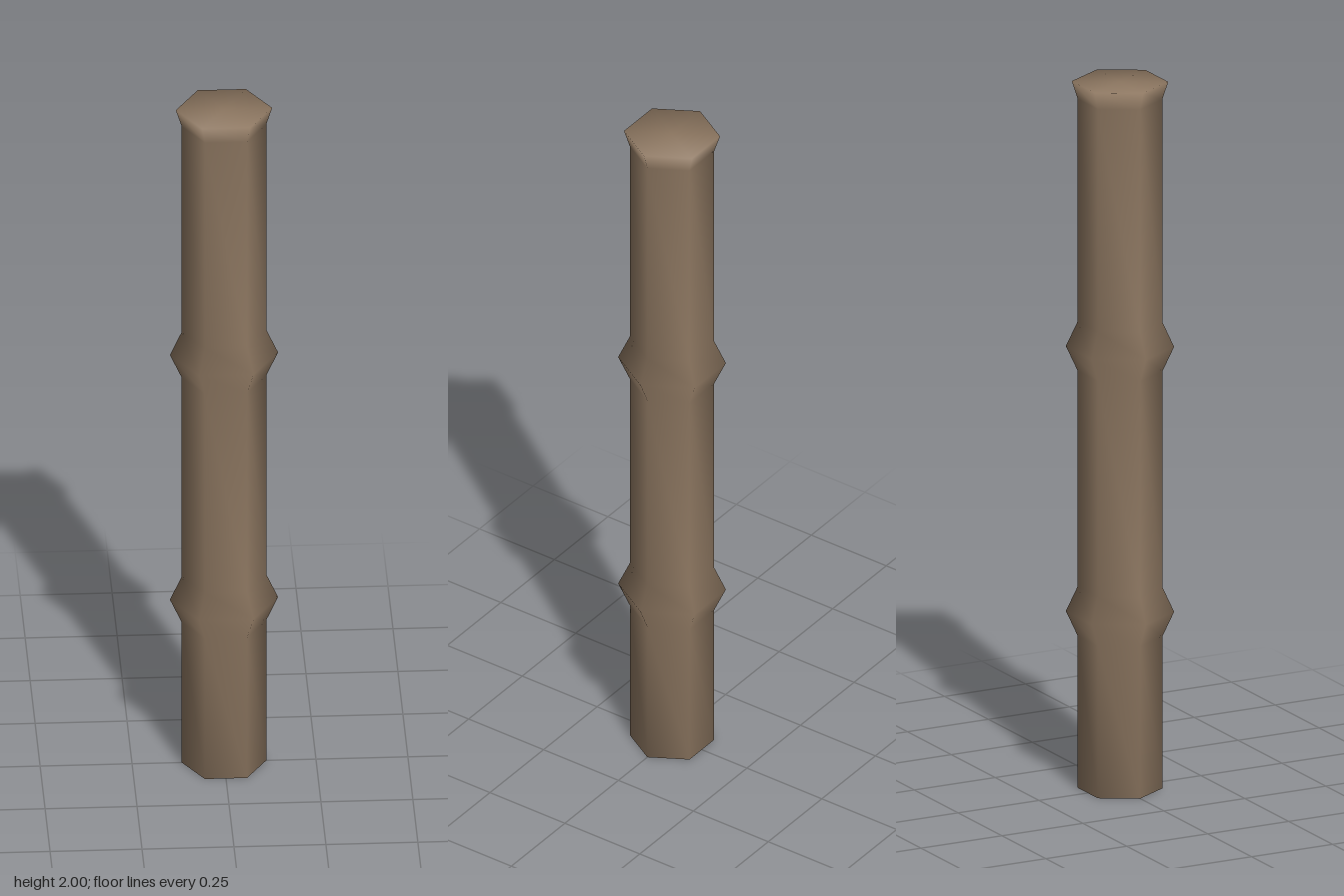
import * as THREE from 'three';
import { mergeVertices } from 'three/addons/utils/BufferGeometryUtils.js';

export function createModel() {
  const group = new THREE.Group();
  group.name = 'bambooPole';
  const bark = new THREE.MeshStandardMaterial({ color: 0x8c7660 });
  bark.name = 'brown bark';

  const shaft = 0.115, node = 0.147, lip = 0.131;
  // Bottom cap, shaft with two swollen joints, flared lip and top cap
  const profile = [[0, 0], [shaft, 0]];
  for (const y of [0.5, 1.25]) {
    profile.push([shaft, y - 0.07], [node, y], [shaft, y + 0.07]);
  }
  profile.push([shaft, 1.95], [lip, 2], [0, 2]);

  // Six sides with corners on the x axis
  let geometry = new THREE.LatheGeometry(
    profile.map(([r, y]) => new THREE.Vector2(r, y)), 6, Math.PI / 2);

  // Weld the corners so shading runs smoothly over the whole pole
  geometry.deleteAttribute('uv');
  geometry.deleteAttribute('normal');
  geometry = mergeVertices(geometry, 1e-4);
  geometry.computeVertexNormals();

  const pole = new THREE.Mesh(geometry, bark);
  pole.name = 'pole';
  group.add(pole);
  return group;
}
